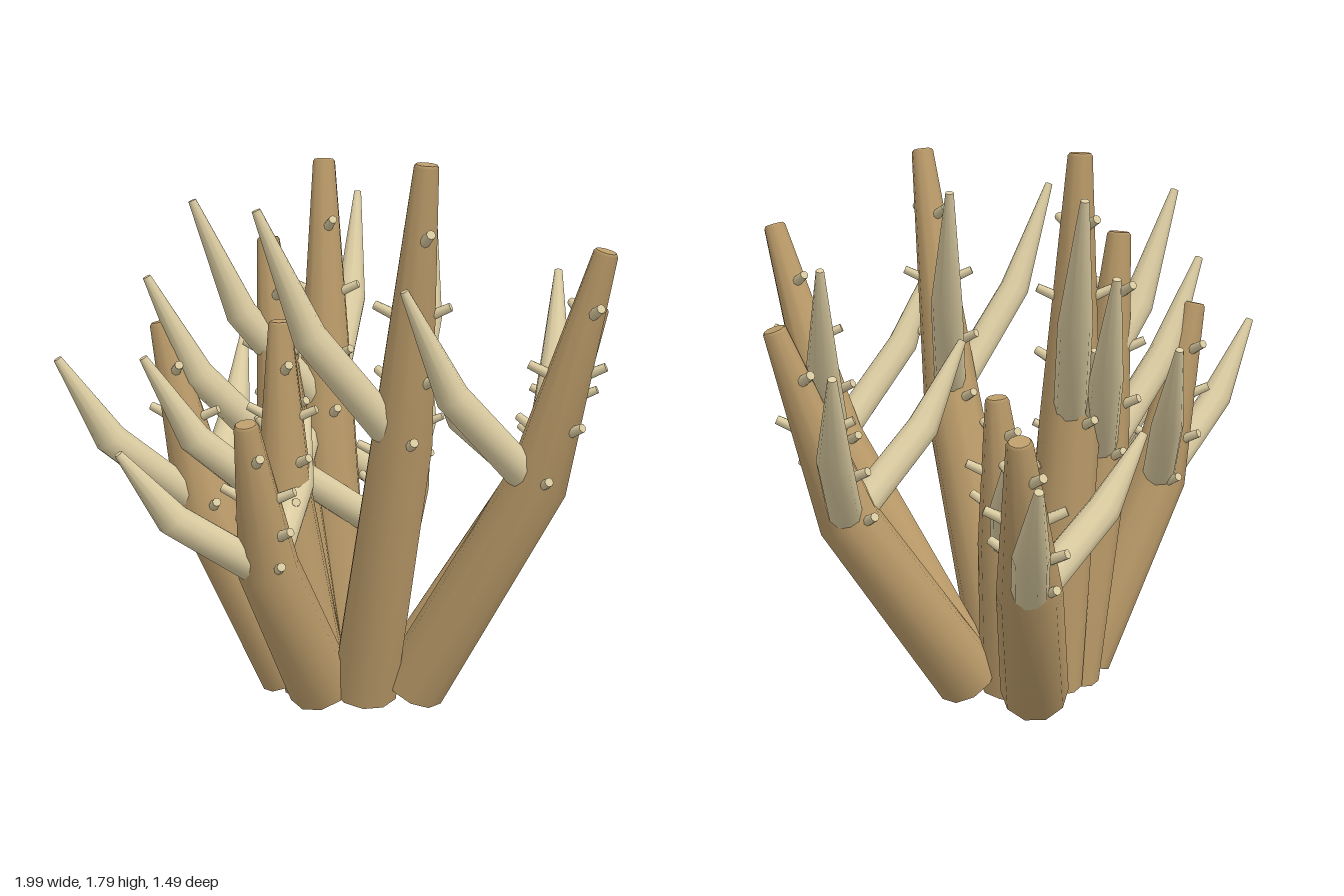
import * as THREE from 'three';

const SIDES = 10;
const bark = new THREE.MeshStandardMaterial({ color: 0xbc9c6a });
const pale = new THREE.MeshStandardMaterial({ color: 0xdccda2 });

// Capped, tapered limb running through points with one radius per point
function limb(points, radii) {
  const pos = [], index = [], rings = [];
  const n = points.length;
  const first = points[1].clone().sub(points[0]).normalize();
  const ref = Math.abs(first.y) > 0.95 ? new THREE.Vector3(0, 0, 1) : new THREE.Vector3(0, 1, 0);
  if (first.y > 0.5) ref.set(0, 0, 1);
  points.forEach((p, i) => {
    const t = new THREE.Vector3();
    if (i > 0) t.add(p.clone().sub(points[i - 1]).normalize());
    if (i < n - 1) t.add(points[i + 1].clone().sub(p).normalize());
    t.normalize();
    const u = new THREE.Vector3().crossVectors(ref, t).normalize();
    const v = new THREE.Vector3().crossVectors(t, u);
    const ring = [];
    for (let j = 0; j < SIDES; j++) {
      const a = (j / SIDES) * Math.PI * 2;
      ring.push(p.clone().addScaledVector(u, Math.cos(a) * radii[i]).addScaledVector(v, Math.sin(a) * radii[i]));
    }
    rings.push(ring);
    ring.forEach((q) => pos.push(q.x, q.y, q.z));
  });
  for (let i = 0; i < n - 1; i++) {
    for (let j = 0; j < SIDES; j++) {
      const k = (j + 1) % SIDES;
      const a = i * SIDES + j, b = i * SIDES + k;
      index.push(a, b, a + SIDES, b, b + SIDES, a + SIDES);
    }
  }
  // End caps with their own vertices, so their rims stay sharp
  [0, n - 1].forEach((i) => {
    const start = pos.length / 3;
    [points[i], ...rings[i]].forEach((q) => pos.push(q.x, q.y, q.z));
    for (let j = 0; j < SIDES; j++) {
      const a = start + 1 + j, b = start + 1 + ((j + 1) % SIDES);
      if (i === 0) index.push(start, b, a);
      else index.push(start, a, b);
    }
  });
  const g = new THREE.BufferGeometry();
  g.setAttribute('position', new THREE.Float32BufferAttribute(pos, 3));
  g.setIndex(index);
  g.computeVertexNormals();
  return g;
}

function add(group, name, geometry, material) {
  const mesh = new THREE.Mesh(geometry, material);
  mesh.name = name;
  group.add(mesh);
  return mesh;
}

// Each stalk: base, bend and tip
const STALKS = [
  [[-0.09, 0.08, 0.05], [-0.04, 0.82, 0.49], [-0.03, 1.54, 0.71]],
  [[-0.20, 0.07, -0.07], [-0.32, 0.96, 0.18], [-0.385, 1.79, 0.32]],
  [[0.10, 0.08, -0.08], [0.49, 0.69, 0.15], [0.67, 1.285, 0.285]],
  [[0.13, 0.085, -0.33], [0.57, 0.555, -0.49], [0.75, 1.035, -0.53]],
  [[-0.28, 0.08, -0.19], [-0.56, 0.555, -0.16], [-0.70, 1.035, -0.11]],
  [[-0.22, 0.05, -0.26], [-0.30, 0.69, -0.32], [-0.33, 1.29, -0.30]],
  [[-0.13, 0.05, -0.34], [-0.17, 0.82, -0.43], [-0.18, 1.54, -0.48]],
  [[-0.02, 0.06, -0.32], [0, 0.96, -0.39], [0.05, 1.79, -0.43]],
  [[0.02, 0.05, -0.21], [0.10, 0.555, -0.22], [0.17, 1.04, -0.21]],
  [[-0.25, 0.08, -0.34], [-0.45, 0.69, -0.54], [-0.53, 1.285, -0.63]],
];

// Height fraction and turn (degrees) of each pair of pegs
const PEGS = [[0.865, 124], [0.74, 68], [0.62, 100], [0.51, 125]];

function makeStalk(path) {
  const stalk = new THREE.Group();
  stalk.name = 'stalk';
  const [base, bend, tip] = path.map((p) => new THREE.Vector3(...p));

  // Trunk with a slightly rounded tip
  const end = tip.clone().sub(bend).normalize();
  add(stalk, 'trunk', limb(
    [base, bend, tip.clone().addScaledVector(end, -0.008), tip],
    [0.11, 0.097, 0.038, 0.032]), bark);

  // Mirrored pair of side branches leaving the bend
  const rise = tip.y * 0.93 - bend.y;
  for (const side of [-1, 1]) {
    const at = (x, y, z) => bend.clone().add(new THREE.Vector3(side * x, y, z));
    add(stalk, side > 0 ? 'leftBranch' : 'rightBranch', limb(
      [at(0, -0.02, 0), at(0.285, rise * 0.48, -0.12), at(0.42, rise, -0.195)],
      [0.055, 0.052, 0.013]), pale);
  }

  // Small pegs in opposite pairs up the trunk
  for (const [fraction, turn] of PEGS) {
    const y = tip.y * fraction;
    const upper = y > bend.y;
    const [a, b] = upper ? [bend, tip] : [base, bend];
    const k = (y - a.y) / (b.y - a.y);
    const centre = a.clone().lerp(b, k);
    const r = upper ? 0.097 - 0.059 * k : 0.11 - 0.013 * k;
    for (const flip of [0, Math.PI]) {
      const angle = THREE.MathUtils.degToRad(turn) + flip;
      const dir = new THREE.Vector3(Math.cos(angle), 0.45, Math.sin(angle)).normalize();
      const peg = add(stalk, 'peg', new THREE.CylinderGeometry(0.014, 0.018, 0.09, 8), pale);
      peg.position.copy(centre).addScaledVector(dir, r + 0.012);
      peg.quaternion.setFromUnitVectors(new THREE.Vector3(0, 1, 0), dir);
    }
  }
  return stalk;
}

export function createModel() {
  const model = new THREE.Group();
  model.name = 'branchingCoral';
  STALKS.forEach((path) => model.add(makeStalk(path)));
  return model;
}
